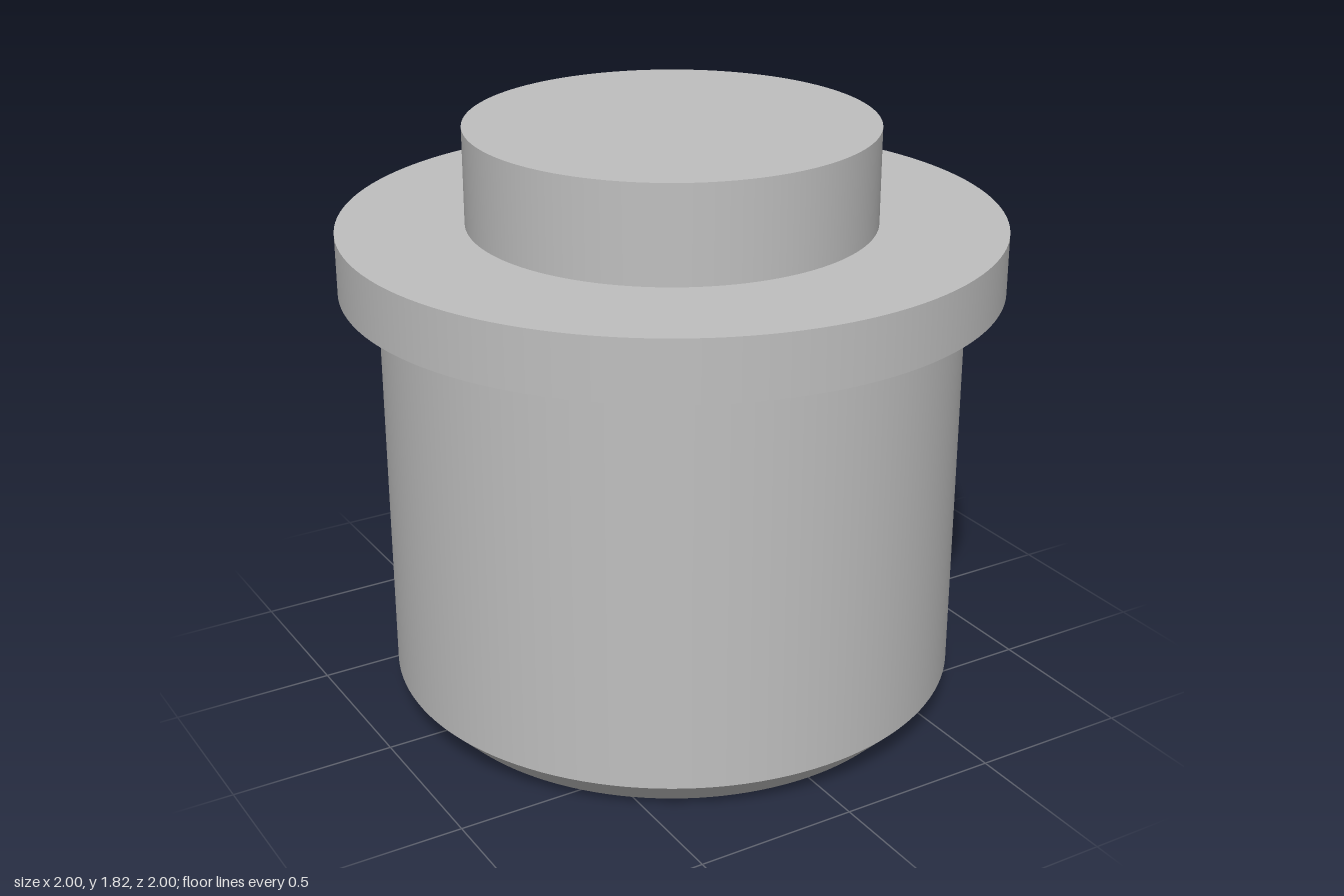
import * as THREE from 'three';
import { mergeGeometries } from 'three/addons/utils/BufferGeometryUtils.js';

const SEGMENTS = 128;

// Revolves each profile segment separately, keeping sharp edges between bands
function turned(name, profile, material) {
  const bands = [];
  for (let i = 0; i < profile.length - 1; i++) {
    const pair = [profile[i], profile[i + 1]].map(([r, y]) => new THREE.Vector2(r, y));
    bands.push(new THREE.LatheGeometry(pair, SEGMENTS));
  }
  const mesh = new THREE.Mesh(mergeGeometries(bands), material);
  mesh.name = name;
  return mesh;
}

export function createModel() {
  const group = new THREE.Group();
  group.name = 'flangedPlug';
  const steel = new THREE.MeshStandardMaterial({ color: 0xbfbfbf });
  steel.name = 'steel grey';

  // Main barrel with chamfered bottom edge
  group.add(turned('body', [[0, 0], [0.79, 0], [0.883, 0.095], [0.883, 1.34]], steel));
  // Wide collar
  group.add(turned('flange', [[0.883, 1.34], [1, 1.34], [1, 1.525], [0.617, 1.525]], steel));
  // Raised round boss on top
  group.add(turned('boss', [[0.617, 1.525], [0.617, 1.82], [0, 1.82]], steel));

  return group;
}
